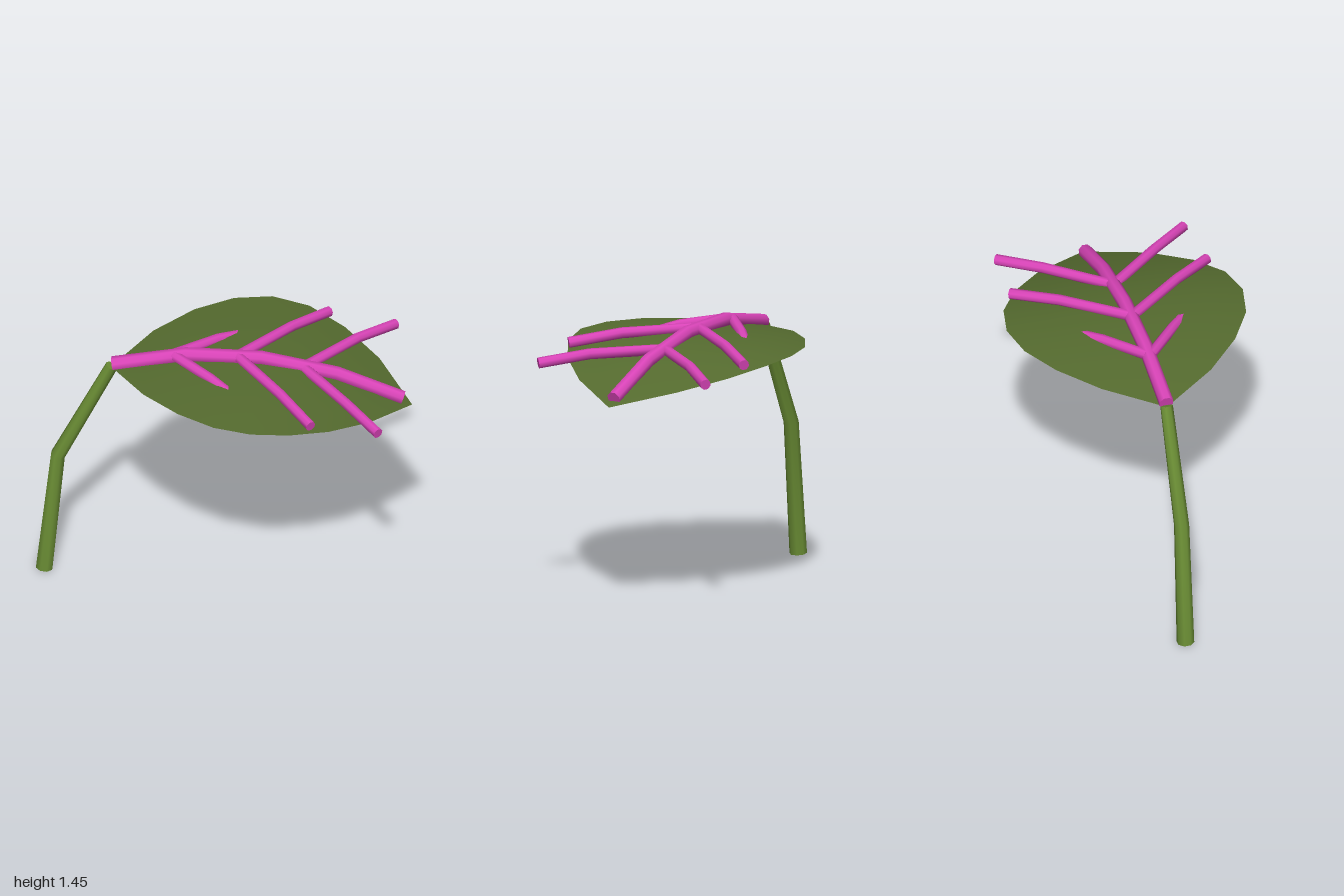
import * as THREE from 'three';

const stemGreen = new THREE.MeshStandardMaterial({ name: 'stemGreen', color: 0x6b8e35 });
const leafGreen = new THREE.MeshStandardMaterial({ name: 'leafGreen', color: 0x556b2f, side: THREE.DoubleSide });
const veinPink = new THREE.MeshStandardMaterial({ name: 'veinPink', color: 0xd944b8 });

// Capped, eight-sided rod with mitred bends and a linear taper
function rod(name, path, r0, r1, material) {
  const sides = 8;
  const pts = path.map((p) => new THREE.Vector3(...p));
  const pos = [], idx = [];
  const dir = (i) => pts[i + 1].clone().sub(pts[i]).normalize();
  const last = pts.length - 1;
  const ring = (i) => {
    const t = i === 0 ? dir(0) : i === last ? dir(last - 1) : dir(i - 1).add(dir(i)).normalize();
    const side = new THREE.Vector3(0, 0, 1).addScaledVector(t, -t.z).normalize();
    const up = new THREE.Vector3().crossVectors(t, side);
    const r = THREE.MathUtils.lerp(r0, r1, i / last);
    for (let k = 0; k < sides; k++) {
      const a = ((k + 0.5) / sides) * Math.PI * 2;
      const v = pts[i].clone().addScaledVector(side, r * Math.cos(a)).addScaledVector(up, r * Math.sin(a));
      pos.push(v.x, v.y, v.z);
    }
  };
  for (let i = 0; i <= last; i++) ring(i);
  for (let i = 0; i < last; i++) {
    for (let k = 0; k < sides; k++) {
      const a = i * sides + k, b = i * sides + (k + 1) % sides;
      idx.push(a, b, a + sides, b, b + sides, a + sides);
    }
  }
  // End caps use their own rings so the rims stay sharp
  const c0 = pos.length / 3;
  ring(0);
  const c1 = pos.length / 3;
  ring(last);
  for (let k = 1; k < sides - 1; k++) idx.push(c0, c0 + k + 1, c0 + k, c1, c1 + k, c1 + k + 1);
  return finish(name, pos, idx, material);
}

function finish(name, pos, idx, material) {
  const g = new THREE.BufferGeometry();
  g.setAttribute('position', new THREE.Float32BufferAttribute(pos, 3));
  g.setIndex(idx);
  g.computeVertexNormals();
  const mesh = new THREE.Mesh(g, material);
  mesh.name = name;
  return mesh;
}

// Arched sheet: rounded outline, drooping towards both edges
function leafBlade() {
  const ridge = [1.31, 1.355, 1.385, 1.4, 1.4, 1.375, 1.32, 1.25, 1.165];
  const across = 6, pos = [], idx = [];
  ridge.forEach((y, i) => {
    const half = 0.65 * Math.pow(Math.max(0, Math.sin((Math.PI * i) / 8)), 0.8);
    for (let j = 0; j <= across; j++) {
      const z = half * ((2 * j) / across - 1);
      pos.push(-0.6 + 0.2 * i, y - 0.08 * z * z, z);
    }
  });
  const row = across + 1;
  for (let i = 0; i < ridge.length - 1; i++) {
    for (let j = 0; j < across; j++) {
      const a = i * row + j, b = a + row;
      idx.push(a, a + 1, b, a + 1, b + 1, b);
    }
  }
  return finish('leafBlade', pos, idx, leafGreen);
}

export function createModel() {
  const model = new THREE.Group();
  model.name = 'leafOnStem';

  model.add(rod('stem', [[-0.953, 0.005, 0], [-0.88, 0.73, 0], [-0.595, 1.315, 0]], 0.047, 0.034, stemGreen));
  model.add(leafBlade());
  model.add(rod('midrib',
    [[-0.59, 1.33, 0], [-0.2, 1.412, 0], [0.2, 1.415, 0], [0.6, 1.34, 0], [0.95, 1.205, 0]],
    0.04, 0.038, veinPink));

  // Mirrored pairs of side veins
  const veins = [
    [[-0.26, 1.408, 0.01], [-0.05, 1.392, 0.19], [0.16, 1.337, 0.36]],
    [[0.08, 1.42, 0.01], [0.33, 1.406, 0.32], [0.51, 1.363, 0.54]],
    [[0.43, 1.37, 0.01], [0.68, 1.36, 0.31], [0.865, 1.322, 0.515]],
  ];
  veins.forEach((path, i) => {
    for (const s of [1, -1]) {
      model.add(rod(`${s > 0 ? 'front' : 'back'}Vein${i + 1}`,
        path.map(([x, y, z]) => [x, y, z * s]), 0.029, 0.029, veinPink));
    }
  });
  return model;
}
